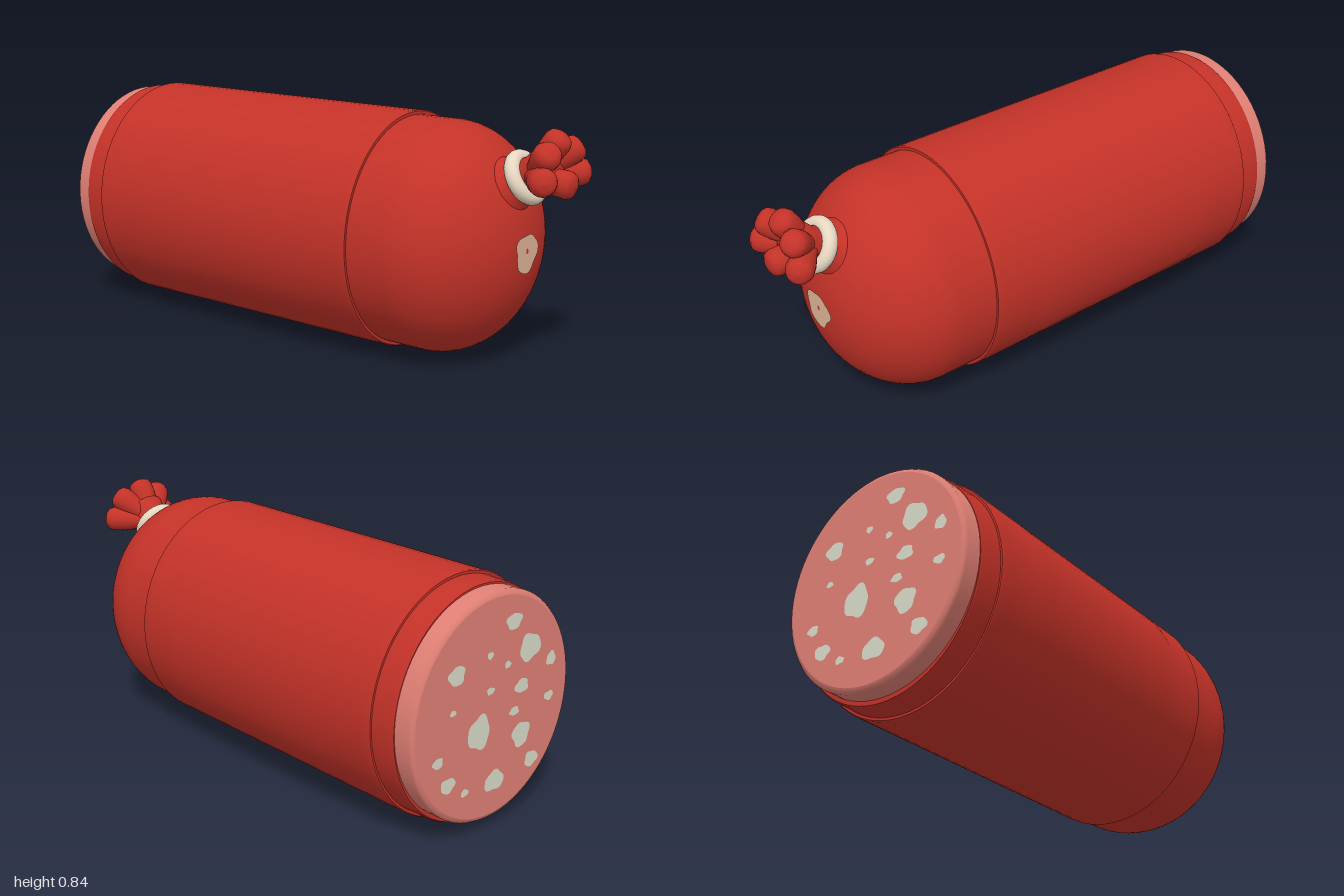
import * as THREE from 'three';

const CY = 0.42;      // height of the body axis
const DEPTH = 0.935;  // body is slightly narrower in z
const DOME = { x: 0.5, length: 0.325, radius: 0.405 };

const material = (name, color, side = THREE.FrontSide) => {
  const m = new THREE.MeshStandardMaterial({ color, side });
  m.name = name;
  return m;
};

// Lathe along +x from [x, radius] pairs; a repeated pair keeps that edge sharp
function latheX(profile, depth, segments = 72) {
  const points = profile.map(([x, r]) => new THREE.Vector2(r, x));
  return new THREE.LatheGeometry(points, segments).rotateZ(-Math.PI / 2).scale(1, 1, depth);
}

const sharp = (profile) => profile.flatMap((p) => [p, p]);

// Irregular rounded outline around the origin
function blob(rx, ry, seed, segments = 28) {
  const shape = new THREE.Shape();
  for (let i = 0; i < segments; i++) {
    const a = (i / segments) * Math.PI * 2;
    const k = 1 + 0.09 * Math.sin(3 * a + seed) + 0.06 * Math.sin(5 * a + seed * 2.3);
    const x = rx * k * Math.cos(a), y = ry * k * Math.sin(a);
    if (i) shape.lineTo(x, y); else shape.moveTo(x, y);
  }
  return shape;
}

export function createModel() {
  const model = new THREE.Group();
  model.name = 'sausage';
  const red = material('casing red', 0xc43228);
  const pink = material('meat pink', 0xe07f74);
  const fat = material('fat grey', 0xd8dcc8, THREE.DoubleSide);
  const tan = material('highlight tan', 0xe0b496, THREE.DoubleSide);
  const cream = material('string cream', 0xe8d8c2);

  const add = (name, geometry, mat, parent = model) => {
    const mesh = new THREE.Mesh(geometry, mat);
    mesh.name = name;
    parent.add(mesh);
    return mesh;
  };

  // Casing: cut lip, straight body and rounded end
  const dome = [];
  for (let i = 0; i <= 24; i++) {
    const a = (i / 24) * Math.PI / 2;
    dome.push([DOME.x + DOME.length * Math.sin(a), DOME.radius * Math.cos(a)]);
  }
  const lip = sharp([[-0.93, 0.36], [-0.93, 0.4]]);
  add('casing', latheX([...lip, [-0.922, 0.404], [-0.84, 0.407], [0.36, 0.405], ...dome], DEPTH), red).position.y = CY;

  // Wrapper sleeve, swelling a little along both sides
  const sleeve = [];
  for (let i = 0; i <= 40; i++) sleeve.push([-0.836 + (1.192 * i) / 40, 0.42]);
  const ends = [sharp([[-0.84, 0.4], [-0.84, 0.416]]), sharp([[0.36, 0.416], [0.36, 0.4]])];
  const wrapper = latheX([...ends[0], ...sleeve, ...ends[1]], DEPTH - 0.005);
  const pos = wrapper.attributes.position;
  for (let i = 0; i < pos.count; i++) {
    const x = pos.getX(i), z = pos.getZ(i);
    const along = THREE.MathUtils.smoothstep(x, -0.66, -0.6) * (1 - THREE.MathUtils.smoothstep(x, 0.16, 0.2));
    const around = THREE.MathUtils.smoothstep(Math.abs(z), 0.28, 0.37);
    pos.setZ(i, z + Math.sign(z) * 0.012 * along * around);
  }
  add('wrapper', wrapper, red).position.y = CY;

  // Exposed meat with a softly rounded cut edge
  const meat = [[-0.998, 0], [-0.998, 0.37], [-0.998, 0.37], [-0.994, 0.381], [-0.985, 0.388], [-0.9, 0.389]];
  add('meat', latheX(meat, 0.955), pink).position.y = CY + 0.005;

  // Fat spots on the cut face: [z, y, half width, half height]
  const spots = [
    [0.075, 0.7, 0.037, 0.027], [0.16, 0.595, 0.05, 0.046], [0.27, 0.53, 0.023, 0.024],
    [-0.18, 0.58, 0.037, 0.032], [-0.03, 0.61, 0.014, 0.012], [0.056, 0.56, 0.014, 0.012],
    [0.13, 0.47, 0.033, 0.024], [0.27, 0.4, 0.023, 0.016], [-0.02, 0.49, 0.018, 0.012],
    [-0.19, 0.46, 0.014, 0.01], [-0.065, 0.36, 0.05, 0.058], [0.14, 0.3, 0.042, 0.043],
    [0.2, 0.195, 0.033, 0.027], [0.02, 0.17, 0.046, 0.035], [-0.25, 0.31, 0.023, 0.018],
    [-0.2, 0.22, 0.033, 0.026], [-0.12, 0.17, 0.018, 0.013], [0.1, 0.39, 0.023, 0.015],
  ];
  const fatSpots = new THREE.Group();
  fatSpots.name = 'fatSpots';
  model.add(fatSpots);
  spots.forEach(([z, y, rz, ry], i) => {
    const spot = add('fatSpot', new THREE.ShapeGeometry(blob(rz, ry, i * 1.7)), fat, fatSpots);
    spot.rotation.y = -Math.PI / 2;
    spot.position.set(-1, y, z);
  });

  // Pale patch hugging the rounded end
  const patch = new THREE.ShapeGeometry(blob(0.067, 0.067, 0.6, 36)).rotateY(Math.PI / 2);
  patch.translate(0, 0.408 - CY, 0);
  const pp = patch.attributes.position;
  for (let i = 0; i < pp.count; i++) {
    const r = Math.hypot(pp.getY(i), pp.getZ(i) / DEPTH) / DOME.radius;
    pp.setX(i, DOME.x + DOME.length * Math.sqrt(1 - r * r) + 0.004);
  }
  add('endPatch', patch, tan).position.y = CY;

  // Neck and string tie, tilted upward from the rounded end
  const tie = new THREE.Group();
  tie.name = 'tie';
  tie.position.set(0.81, 0.662, 0);
  tie.rotation.z = 0.49;
  model.add(tie);
  const neck = [[-0.1, 0.14], [-0.05, 0.09], [0, 0.062], [0.04, 0.06], [0.09, 0.075], [0.12, 0.05], [0.13, 0]];
  add('neck', latheX(neck, 1, 32), red, tie);
  add('string', new THREE.TorusGeometry(0.071, 0.026, 16, 48).rotateY(Math.PI / 2), cream, tie);

  // Gathered tuft: lobes fanning out from the tie, given by their tips
  const tips = [
    [0.94, 0.815, 0], [0.99, 0.652, 0],
    ...[1, -1].flatMap((s) => [[0.955, 0.775, 0.1 * s], [0.965, 0.68, 0.142 * s]]),
  ];
  const root = new THREE.Vector3(0.83, 0.672, 0);
  const tuft = new THREE.Group();
  tuft.name = 'tuft';
  model.add(tuft);
  for (const tip of tips) {
    const dir = new THREE.Vector3(...tip).sub(root);
    const n = dir.length();
    const lobe = [[0, 0.03], [0.35 * n, 0.036], [0.65 * n, 0.046], [0.85 * n, 0.047], [0.95 * n, 0.04], [n, 0.025], [1.02 * n, 0]];
    const mesh = add('tuftLobe', latheX(lobe, 1, 24), red, tuft);
    mesh.position.copy(root);
    mesh.quaternion.setFromUnitVectors(new THREE.Vector3(1, 0, 0), dir.normalize());
  }
  return model;
}
